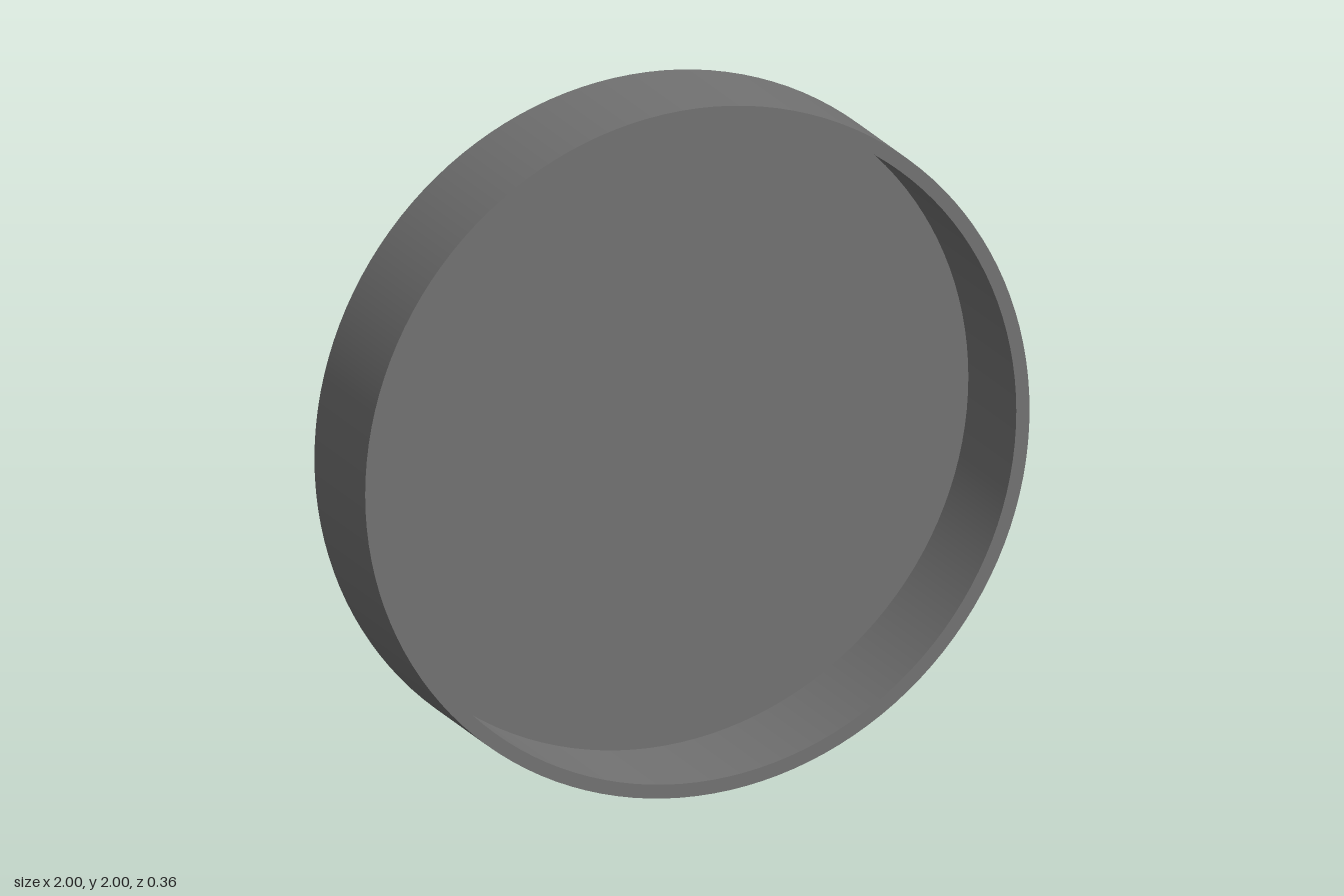
import * as THREE from 'three';

const SEGMENTS = 128;
const OUTER = 1, INNER = 0.96; // radii
const BACK = -0.18, FLOOR = -0.16, FRONT = 0.18; // positions along the axis

export function createModel() {
  const model = new THREE.Group();
  model.name = 'shallowRoundDish';
  const material = new THREE.MeshStandardMaterial({ color: 0x727272 });

  // Each surface is its own revolved line, so the edges between them stay sharp.
  const addSurface = (name, from, to) => {
    const line = [new THREE.Vector2(...from), new THREE.Vector2(...to)];
    const geometry = new THREE.LatheGeometry(line, SEGMENTS);
    geometry.rotateX(Math.PI / 2); // axis along z, open side to the front
    geometry.translate(0, OUTER, 0);
    const mesh = new THREE.Mesh(geometry, material);
    mesh.name = name;
    model.add(mesh);
  };

  // Closed profile, from the back centre round to the floor centre
  addSurface('backFace', [0, BACK], [OUTER, BACK]);
  addSurface('outerWall', [OUTER, BACK], [OUTER, FRONT]);
  addSurface('rim', [OUTER, FRONT], [INNER, FRONT]);
  addSurface('innerWall', [INNER, FRONT], [INNER, FLOOR]);
  addSurface('floor', [INNER, FLOOR], [0, FLOOR]);

  return model;
}
